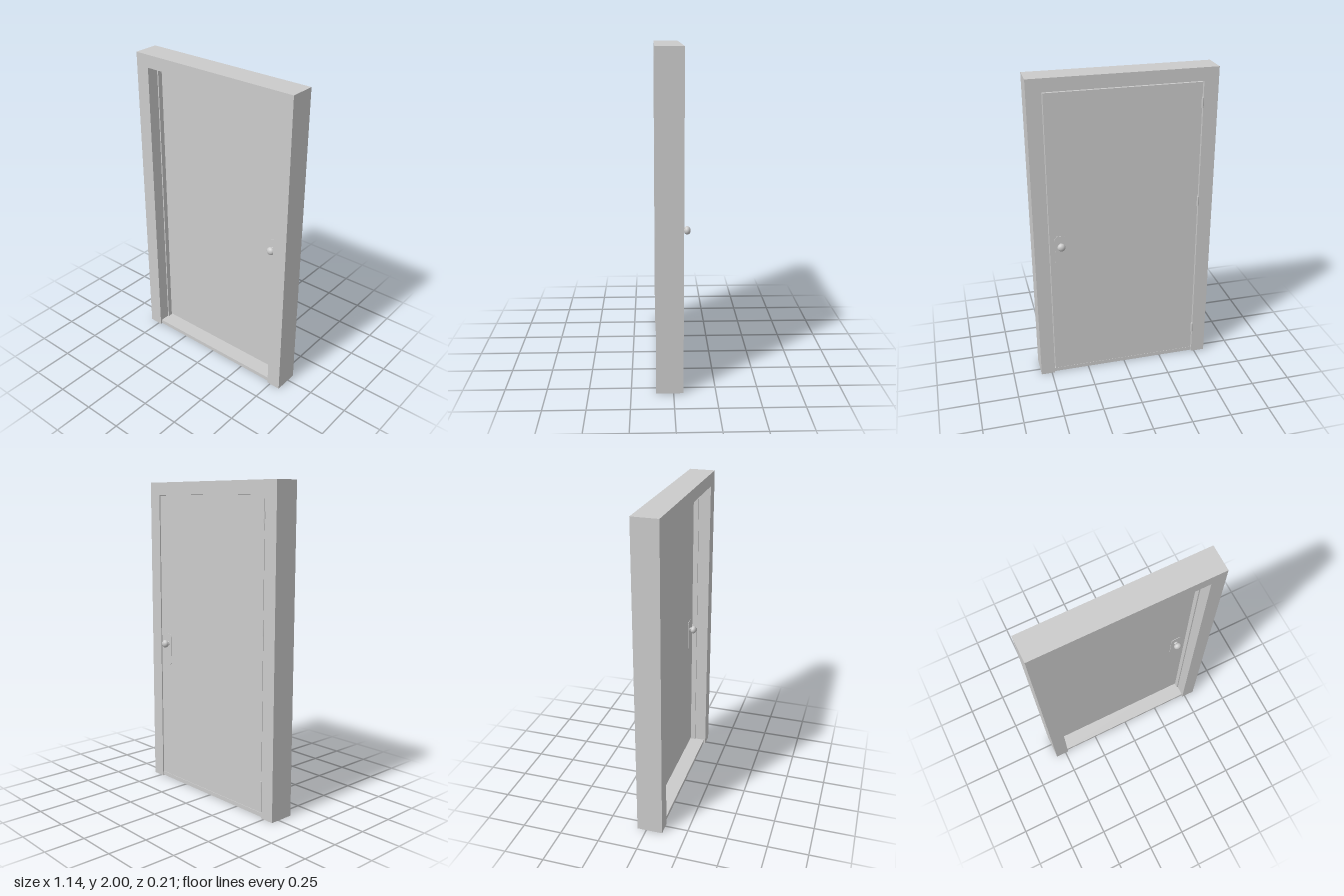
import * as THREE from 'three';

const material = new THREE.MeshStandardMaterial({ color: 0xcccccc });
const openMaterial = new THREE.MeshStandardMaterial({ color: 0xcccccc, side: THREE.DoubleSide });

const FRONT = 0.103, BACK = -0.058;            // frame faces
const DOOR_FRONT = -0.006, DOOR_BACK = -0.055; // door leaf faces
const KNOB_X = 0.406, KNOB_Y = 0.95;

function add(parent, name, geometry, x = 0, y = 0, z = 0, mat = material) {
  const mesh = new THREE.Mesh(geometry, mat);
  mesh.name = name;
  mesh.position.set(x, y, z);
  parent.add(mesh);
  return mesh;
}

// Hollow pressed frame: one profile swept up, across and down with mitred corners
function frameGeometry() {
  // [distance in from the outer edge, z]
  const profile = [
    [0, BACK], [0, FRONT], [0.09, FRONT], [0.09, 0.027],
    [0.098, 0.027], [0.098, -0.004], [0.09, -0.004], [0.09, BACK],
  ];
  const rings = [[-1, 0], [-1, 1], [1, 1], [1, 0]].map(([side, top]) =>
    profile.map(([d, z]) => [side * (0.57 - d), top * (2 - Math.max(0, d - 0.01)), z]));
  const points = [];
  for (let i = 0; i < 3; i++) {
    for (let k = 0; k < profile.length; k++) {
      const n = (k + 1) % profile.length;
      const a = rings[i][k], b = rings[i][n], c = rings[i + 1][n], d = rings[i + 1][k];
      points.push(...a, ...b, ...c, ...a, ...c, ...d);
    }
  }
  const geometry = new THREE.BufferGeometry();
  geometry.setAttribute('position', new THREE.Float32BufferAttribute(points, 3));
  geometry.computeVertexNormals();
  return geometry;
}

// Sill: a channel, open underneath
function sillGeometry() {
  const f = 0.092, b = -0.05, h = 0.03, wall = 0.012, base = 0.004;
  const shape = new THREE.Shape([
    [b, base], [b + wall, base], [b + wall, h - 0.012], [f - wall, h - 0.012],
    [f - wall, base], [f, base], [f, h], [b, h],
  ].map(([z, y]) => new THREE.Vector2(-z, y)));
  const geometry = new THREE.ExtrudeGeometry(shape, { depth: 0.96, bevelEnabled: false });
  return geometry.translate(0, 0, -0.48).rotateY(Math.PI / 2);
}

// Rounded latch plate, thin along z
function plateGeometry() {
  const w = 0.036, lo = -0.145, hi = 0.065, r = 0.022;
  const s = new THREE.Shape();
  s.moveTo(-w + r, lo);
  s.absarc(w - r, lo + r, r, -Math.PI / 2, 0);
  s.absarc(w - r, hi - r, r, 0, Math.PI / 2);
  s.absarc(-w + r, hi - r, r, Math.PI / 2, Math.PI);
  s.absarc(-w + r, lo + r, r, Math.PI, Math.PI * 1.5);
  return new THREE.ExtrudeGeometry(s, { depth: 0.003, bevelEnabled: false, curveSegments: 8 });
}

// Plate, neck and flattened knob, pointing to +z
function createHandle() {
  const handle = new THREE.Group();
  add(handle, 'latchPlate', plateGeometry());
  add(handle, 'knobRose', new THREE.CylinderGeometry(0.013, 0.015, 0.006, 24).rotateX(Math.PI / 2), 0, 0, 0.005);
  add(handle, 'knobNeck', new THREE.CylinderGeometry(0.01, 0.01, 0.02, 24).rotateX(Math.PI / 2), 0, 0, 0.012);
  add(handle, 'knob', new THREE.SphereGeometry(0.025, 32, 20).scale(1, 1, 0.8), 0, 0, 0.028);
  return handle;
}

export function createModel() {
  const model = new THREE.Group();
  model.name = 'doorWithFrame';

  add(model, 'doorFrame', frameGeometry(), 0, 0, 0, openMaterial);
  add(model, 'sill', sillGeometry());

  // Door leaf with a narrow gap all round
  const bottom = 0.035, top = 1.914;
  add(model, 'doorLeaf', new THREE.BoxGeometry(0.948, top - bottom, DOOR_FRONT - DOOR_BACK),
    0, (top + bottom) / 2, (DOOR_FRONT + DOOR_BACK) / 2);

  // Handles on both faces
  const frontHandle = createHandle();
  frontHandle.name = 'frontHandle';
  frontHandle.position.set(KNOB_X, KNOB_Y, DOOR_FRONT);
  const backHandle = createHandle();
  backHandle.name = 'backHandle';
  backHandle.position.set(KNOB_X, KNOB_Y, DOOR_BACK);
  backHandle.rotation.y = Math.PI;
  model.add(frontHandle, backHandle);

  // Hinges: a knuckle at the back edge and a leaf in the gap
  for (const y of [0.2, 1.15, 1.79]) {
    const hinge = new THREE.Group();
    hinge.name = 'hinge';
    hinge.position.set(-0.476, y, 0);
    add(hinge, 'hingeKnuckle', new THREE.CylinderGeometry(0.007, 0.007, 0.066, 16), 0, 0, -0.057);
    add(hinge, 'hingeLeaf', new THREE.BoxGeometry(0.006, 0.066, 0.04), 0, 0, -0.034);
    model.add(hinge);
  }
  return model;
}
